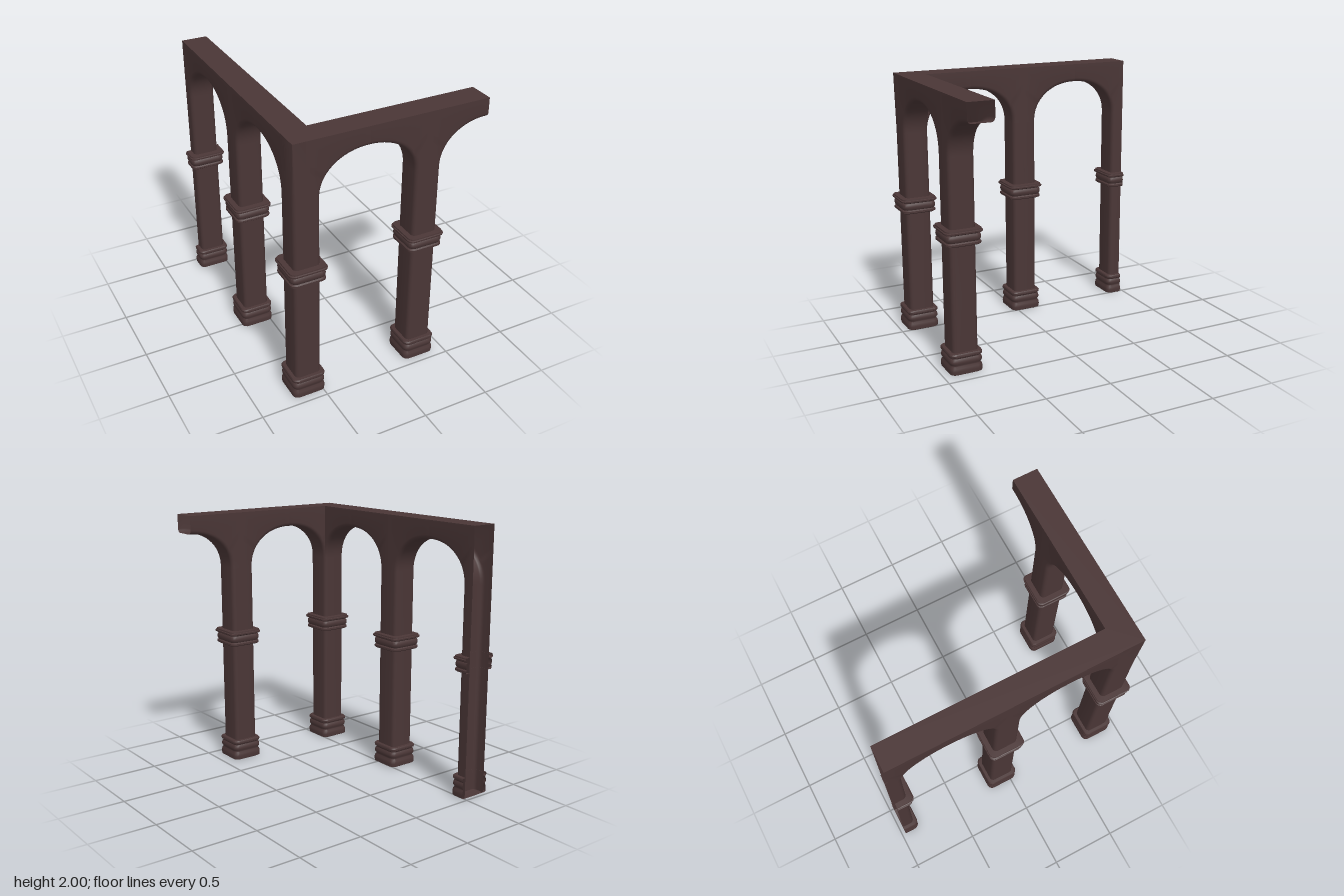
import * as THREE from 'three';
import { toCreasedNormals } from 'three/addons/utils/BufferGeometryUtils.js';

const material = new THREE.MeshStandardMaterial({ color: 0x4a3636, side: THREE.DoubleSide });
const HALF = 0.096;     // half thickness of piers and beams
const ROUND = 0.03;     // edge rounding
const TOP = 2, SPRING = 1.57, CROWN = 1.86;

// Skin a list of equally long rows of points
function skin(rows) {
  const n = rows[0].length, index = [];
  for (let i = 0; i < rows.length - 1; i++) {
    for (let j = 0; j < n - 1; j++) {
      const a = i * n + j, b = a + n;
      index.push(a, b, a + 1, b, b + 1, a + 1);
    }
  }
  const geo = new THREE.BufferGeometry();
  geo.setAttribute('position', new THREE.Float32BufferAttribute(rows.flat(2), 3));
  geo.setIndex(index);
  return toCreasedNormals(geo, 0.7);
}

// Stack rounded squares [half width, y, corner radius]; half keeps only +z
function stack(profile, half = false) {
  return skin(profile.map(([h, y, r = Math.min(0.04, h * 0.35)]) => {
    const row = [[h, y, 0]];
    for (let k = 0; k < (half ? 2 : 4); k++) {
      const sx = k === 0 || k === 3 ? 1 : -1, sz = k < 2 ? 1 : -1;
      for (let s = 0; s <= 4; s++) {
        const a = (k + s / 4) * Math.PI / 2;
        row.push([sx * (h - r) + r * Math.cos(a), y, sz * (h - r) + r * Math.sin(a)]);
      }
    }
    row.push(half ? [-h, y, 0] : [h, y, 0]);
    return row;
  }));
}

// Half a pier with half an arch springing from it along local +x
function halfArch(span) {
  const rows = [];
  const addRow = (u, y, nu, ny, au, ay) => {
    const row = [[au, ay, -HALF]];
    for (const side of [-1, 1]) {
      for (let s = 0; s <= 4; s++) {
        const a = (side < 0 ? s : 4 - s) / 4 * Math.PI / 2;
        const inset = ROUND * (1 - Math.sin(a));
        const w = side * (HALF - ROUND + ROUND * Math.cos(a));
        row.push([u - nu * inset, y - ny * inset, w]);
      }
    }
    row.push([au, ay, HALF]);
    rows.push(row);
  };
  addRow(HALF, 0, 1, 0, 0, 0);
  const steps = 16, rx = span - HALF, ry = CROWN - SPRING;
  for (let i = 0; i <= steps; i++) {
    const t = i / steps, a = t * Math.PI / 2;
    const c = i === steps ? 0 : Math.cos(a), s = Math.sin(a);
    const u = span - rx * Math.pow(c, 0.94), y = SPRING + ry * Math.pow(s, 0.94);
    const n = new THREE.Vector2(c / rx, -s / ry).normalize();
    // inner edge follows the pier axis up, then the beam top outwards
    const au = t < 0.5 ? 0 : (t - 0.5) * 2 * span;
    const ay = t < 0.5 ? SPRING + (TOP - SPRING) * t * 2 : TOP;
    addRow(u, y, n.x, n.y, au, ay);
  }
  return skin(rows);
}

const baseProfile = [
  [0.001, 0], [0.112, 0], [0.122, 0.006], [0.124, 0.03], [0.122, 0.052], [0.114, 0.066],
  [0.114, 0.074], [0.121, 0.086], [0.122, 0.1], [0.119, 0.114], [0.113, 0.124],
  [0.115, 0.132], [0.123, 0.138], [0.124, 0.152], [0.118, 0.161], [0.094, 0.163],
];
const bandProfile = [
  [0.094, 0.953], [0.122, 0.953], [0.131, 0.96], [0.131, 0.974], [0.122, 0.982],
  [0.128, 0.99], [0.131, 1.008], [0.128, 1.026], [0.121, 1.034], [0.128, 1.038],
  [0.14, 1.045], [0.141, 1.056], [0.134, 1.06], [0.133, 1.069], [0.094, 1.071],
];

export function createModel() {
  const model = new THREE.Group();
  const add = (parent, name, geo, yaw = 0) => {
    const mesh = new THREE.Mesh(geo, material);
    mesh.name = name;
    mesh.rotation.y = yaw;
    parent.add(mesh);
    return mesh;
  };

  const SPAN_X = 0.45, SPAN_Z = 0.4485;
  const xArch = halfArch(SPAN_X), zArch = halfArch(SPAN_Z);
  const LEFT = 0, RIGHT = Math.PI, BACK = Math.PI / 2, FRONT = -Math.PI / 2;

  // Piers with their half arches, bases and bands
  const piers = [
    { name: 'cornerPier', x: -0.605, z: 0.825, arches: [[xArch, LEFT], [zArch, BACK]], corner: true },
    { name: 'frontPier', x: 0.295, z: 0.825, arches: [[xArch, LEFT], [xArch, RIGHT]] },
    { name: 'sidePier', x: -0.605, z: -0.072, arches: [[zArch, FRONT], [zArch, BACK]] },
    { name: 'backHalfPier', x: -0.605, z: -0.969, arches: [[zArch, FRONT]], half: true },
  ];
  for (const p of piers) {
    const pier = new THREE.Group();
    pier.name = p.name;
    pier.position.set(p.x, 0, p.z);
    for (const [geo, yaw] of p.arches) add(pier, 'halfArch', geo, yaw);
    if (p.corner) {
      // rounded shaft sharpening towards the top of the corner
      add(pier, 'cornerShaft', stack([[HALF, 0, ROUND], [HALF, SPRING, ROUND], [HALF, TOP, 0.002]]));
    }
    add(pier, 'base', stack(baseProfile, p.half));
    add(pier, 'band', stack(bandProfile, p.half));
    model.add(pier);
  }

  // L-shaped top face of the two beams
  const x0 = -0.605 - HALF, x1 = -0.605 + HALF, x2 = 0.745;
  const z0 = -0.969, z1 = 0.825 - HALF, z2 = 0.825 + HALF;
  const outline = new THREE.Shape(
    [[x0, z2], [x2, z2], [x2, z1], [x1, z1], [x1, z0], [x0, z0]].map(([x, z]) => new THREE.Vector2(x, -z)));
  const top = add(model, 'beamTop', new THREE.ShapeGeometry(outline).rotateX(-Math.PI / 2));
  top.position.y = TOP;

  return model;
}
